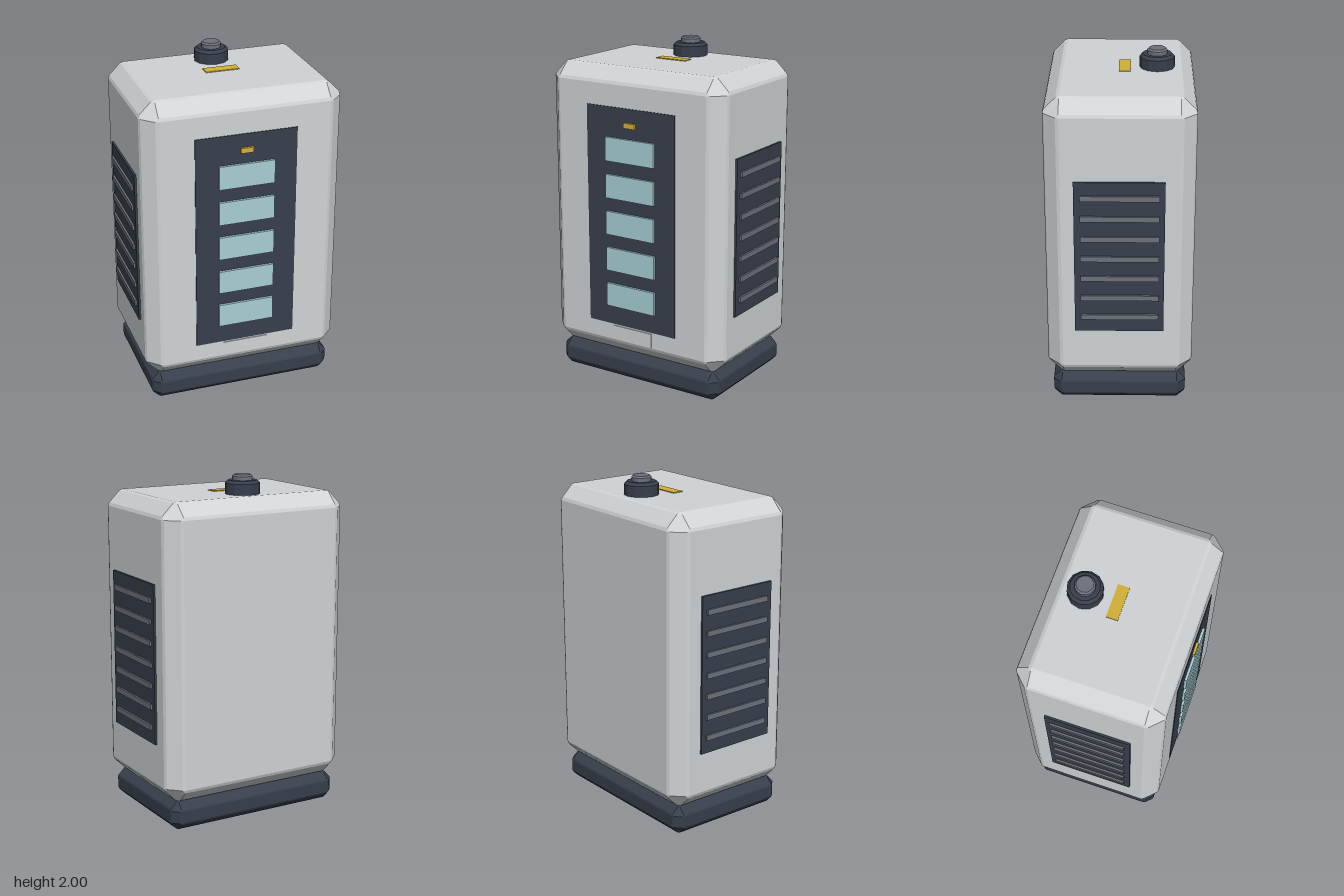
import * as THREE from 'three';
import { ConvexGeometry } from 'three/addons/geometries/ConvexGeometry.js';

const mat = (name, color, extra = {}) => {
  const m = new THREE.MeshStandardMaterial({ color, ...extra });
  m.name = name;
  return m;
};

// Box between two corners, with softened chamfers of width c on every edge
function chamferBox(min, max, c) {
  const a = c * 0.08, b = c * 0.8;
  const insets = [
    [0, c, c], [c, 0, c], [c, c, 0],
    [a, b, c], [a, c, b], [b, a, c], [c, a, b], [b, c, a], [c, b, a],
  ];
  const points = [];
  for (let corner = 0; corner < 8; corner++) {
    for (const inset of insets) {
      points.push(new THREE.Vector3(...inset.map((d, axis) =>
        (corner >> axis) & 1 ? max[axis] - d : min[axis] + d)));
    }
  }
  return new ConvexGeometry(points);
}

// Plain box between two corners
function block(min, max) {
  const g = new THREE.BoxGeometry(max[0] - min[0], max[1] - min[1], max[2] - min[2]);
  return g.translate(...min.map((v, i) => (v + max[i]) / 2));
}

export function createModel() {
  const model = new THREE.Group();
  model.name = 'cabinet';

  const shell = mat('shell grey', 0xd0d4d6);
  const dark = mat('dark slate', 0x383f4c);
  const slate = mat('mid grey', 0x6e717c);
  const glass = mat('pale teal', 0xa8d0d6);
  const gold = mat('gold', 0xd4b038);

  const add = (name, geometry, material, parent = model) => {
    const mesh = new THREE.Mesh(geometry, material);
    mesh.name = name;
    parent.add(mesh);
    return mesh;
  };

  // Housing and plinth
  add('housing', chamferBox([-0.59, 0.168, -0.43], [0.59, 1.89, 0.41], 0.092), shell);
  add('plinth', chamferBox([-0.555, 0, -0.395], [0.555, 0.17, 0.38], 0.05), dark);

  // Front panel with its row of windows
  add('frontPanel', block([-0.3, 0.36, 0.405], [0.3, 1.67, 0.415]), dark);
  for (let i = 0; i < 5; i++) {
    const y = 0.475 + i * 0.22;
    add('window', block([-0.165, y, 0.41], [0.165, y + 0.14, 0.43]), glass);
  }
  add('indicator', block([-0.038, 1.56, 0.41], [0.038, 1.59, 0.43]), gold);
  add('namePlate', block([-0.135, 0.265, 0.405], [0.135, 0.35, 0.415]), shell);

  // Side vents, mirrored
  for (const side of [1, -1]) {
    const vent = new THREE.Group();
    vent.name = side > 0 ? 'leftVent' : 'rightVent';
    const onSide = (x0, x1, y0, y1, z0, z1) => block(
      [Math.min(side * x0, side * x1), y0, z0], [Math.max(side * x0, side * x1), y1, z1]);
    add('ventPanel', onSide(0.58, 0.602, 0.5, 1.43, -0.26, 0.245), dark, vent);
    for (let i = 0; i < 7; i++) {
      const y = 0.595 + i * 0.1235;
      add('slat', onSide(0.59, 0.614, y - 0.016, y + 0.016, -0.23, 0.21), slate, vent);
    }
    model.add(vent);
  }

  // Top knob: bevelled collar and grey cap
  const lathe = (profile) => {
    const g = new THREE.LatheGeometry(profile.map(([r, y]) => new THREE.Vector2(r, y)), 12).toNonIndexed();
    g.computeVertexNormals();
    return g;
  };
  const knob = new THREE.Group();
  knob.name = 'knob';
  knob.position.set(0, 1.88, -0.215);
  add('knobCollar', lathe([[0.1, 0], [0.1, 0.072], [0.083, 0.088], [0, 0.088]]), dark, knob);
  add('knobCap', lathe([[0.058, 0.085], [0.058, 0.11], [0.048, 0.12], [0, 0.12]]), slate, knob);
  model.add(knob);

  // Gold label on the roof
  add('roofLabel', block([-0.1, 1.886, -0.065], [0.1, 1.895, 0.002]), gold);

  return model;
}
